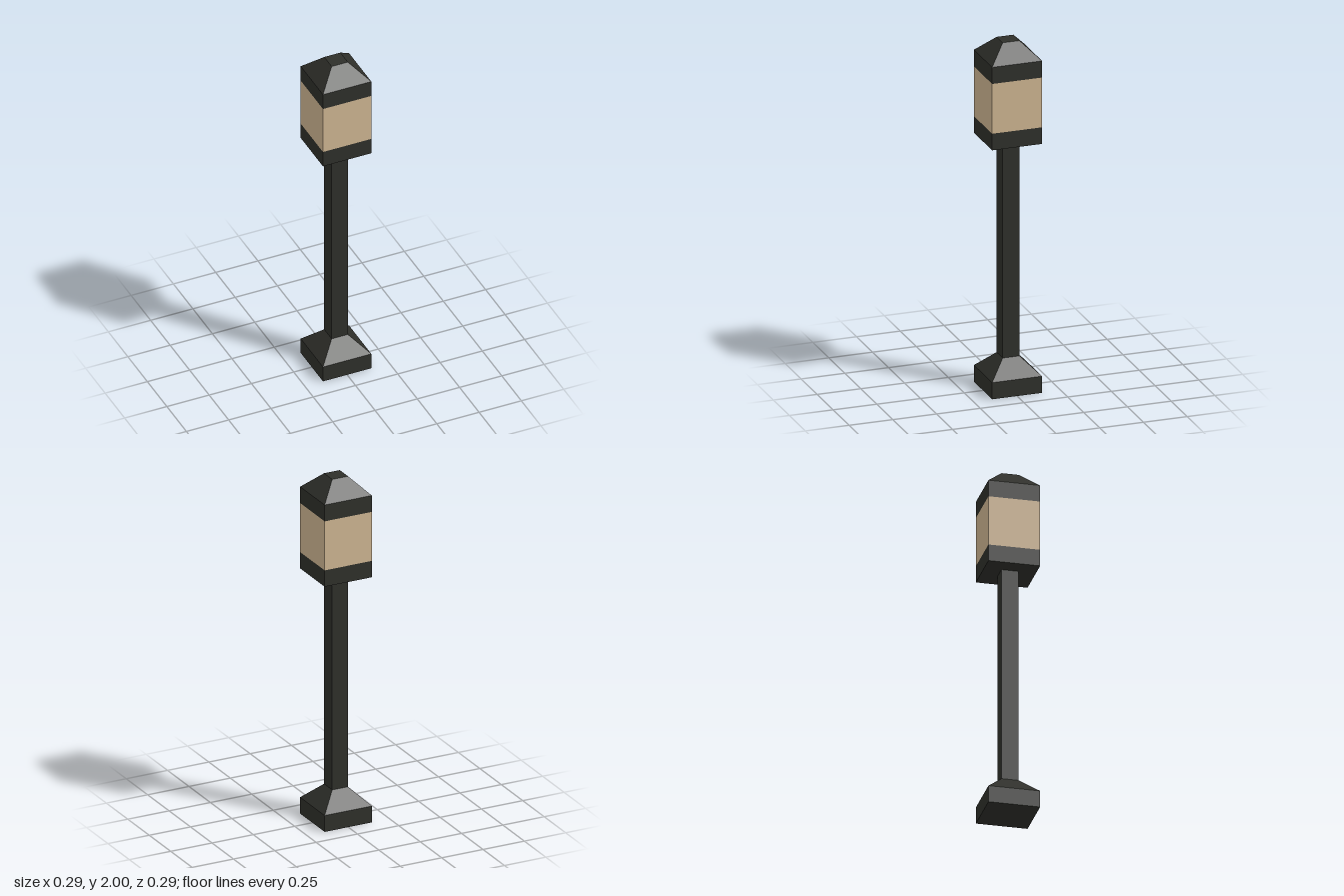
import * as THREE from 'three';

const U = 2 / 21;          // modular unit: the post is one unit wide
const WIDE = 3 * U;        // width of base and lantern

export function createModel() {
  const group = new THREE.Group();
  const iron = new THREE.MeshStandardMaterial({ color: 0x2e2f2a, flatShading: true });
  const glass = new THREE.MeshStandardMaterial({ color: 0xcdb491, flatShading: true });

  // Square block or frustum between two heights (in units)
  function block(name, y0, y1, bottom, top, material) {
    const h = (y1 - y0) * U;
    const geometry = new THREE.CylinderGeometry(top * Math.SQRT1_2, bottom * Math.SQRT1_2, h, 4);
    geometry.rotateY(Math.PI / 4);
    const mesh = new THREE.Mesh(geometry, material);
    mesh.name = name;
    mesh.position.y = y0 * U + h / 2;
    group.add(mesh);
  }

  // Foot and post
  block('basePlinth', 0, 1, WIDE, WIDE, iron);
  block('baseTaper', 1, 2, WIDE, U, iron);
  block('post', 2, 15, U, U, iron);

  // Lantern
  block('lowerCollar', 15, 16, WIDE, WIDE, iron);
  block('lanternGlass', 16, 19, WIDE, WIDE, glass);
  block('upperCollar', 19, 20, WIDE, WIDE, iron);
  block('roof', 20, 21, WIDE, U, iron);

  return group;
}
